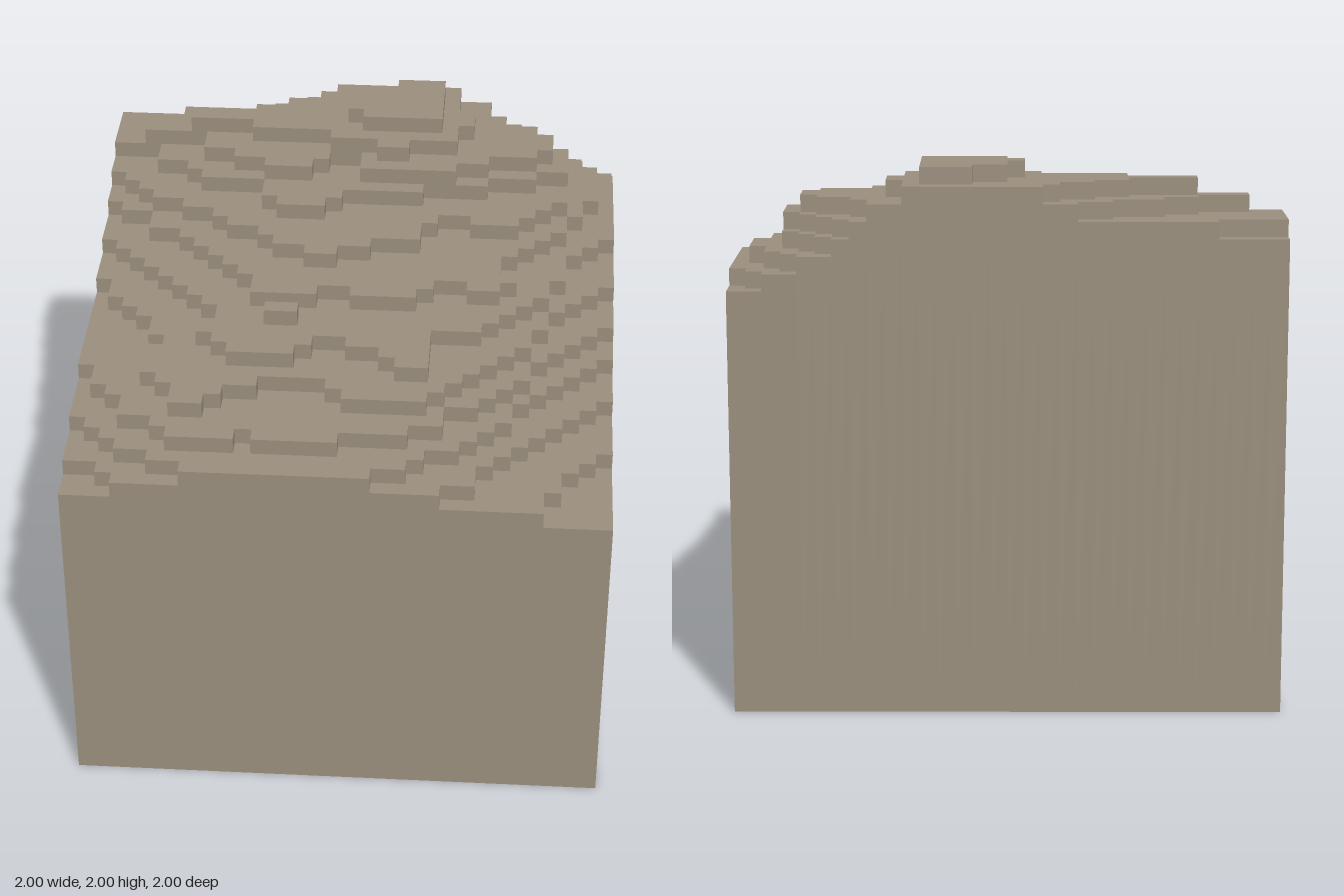
import * as THREE from 'three';

const N = 32;            // cells per side
const CELL = 2 / N;      // cell size, also the step height
const BASE = 20;         // height of the solid block, in steps

// Is the point inside the closed outline [x, z, x, z, ...]?
function inside(outline, x, z) {
  let hit = false;
  const n = outline.length;
  for (let i = 0, j = n - 2; i < n; j = i, i += 2) {
    const [x1, z1, x2, z2] = [outline[i], outline[i + 1], outline[j], outline[j + 1]];
    if ((z1 > z) !== (z2 > z) && x < ((x2 - x1) * (z - z1)) / (z2 - z1) + x1) hit = !hit;
  }
  return hit;
}

// Height of every cell; each terrace raises the cells inside its contour
function buildHeights() {
  const h = Array.from({ length: N }, () => new Array(N).fill(BASE));
  const terrace = (level, outline) => {
    for (let j = 0; j < N; j++)
      for (let i = 0; i < N; i++)
        if (inside(outline, i + 0.49, j + 0.48)) h[j][i] = Math.max(h[j][i], level);
  };
  // Lower slopes, open to the front
  terrace(21, [0, 0, 0, 32, 28, 32, 28, 30, 29, 30, 29, 28, 30, 28, 30, 27, 31, 27, 31, 26, 32, 26, 32, 0]);
  terrace(22, [0, 0, 0, 30, 2, 30, 2, 31, 3, 31, 3, 32, 22, 32, 22, 31, 24, 31, 24, 29, 26, 28,
    26, 27, 28, 25, 30, 24, 31, 22, 32, 22, 32, 0]);
  terrace(23, [0, 0, 0, 27, 1, 27, 1, 28, 2, 28, 3, 30, 5, 30, 5, 31, 7, 31, 7, 32, 18, 32, 18, 31,
    20, 31, 20, 30, 22, 29, 24, 27, 26, 25, 27, 23, 29, 21, 31, 20, 31, 19, 32, 19, 32, 0]);
  terrace(24, [0, 0, 0, 23, 1, 23, 1, 24, 3, 27, 4, 28, 5, 28, 6, 30, 10, 30, 10, 29, 11, 29, 11, 30,
    16, 30, 16, 29, 20, 29, 20, 28, 22, 28, 22, 26, 23, 26, 25, 24, 27, 22, 28, 20, 30, 18, 31, 17, 32, 17, 32, 0]);
  // Middle slopes with a shallow hollow at the front
  terrace(25, [0, 0, 0, 15, 1, 15, 1, 17, 2, 17, 2, 18, 4, 19, 4, 21, 5, 21, 5, 22, 4, 22, 4, 25, 5, 25,
    6, 28, 8, 28, 8, 27, 9, 27, 9, 26, 11, 26, 11, 25, 15, 25, 15, 26, 16, 26, 16, 27, 21, 27, 21, 26,
    22, 26, 22, 25, 25, 23, 27, 20, 28, 18, 29, 16, 31, 15, 31, 14, 32, 14, 32, 0]);
  terrace(26, [0, 0, 0, 12, 1, 12, 1, 13, 3, 14, 3, 15, 5, 16, 8, 19, 8, 21, 7, 21, 7, 22, 8, 22, 8, 23,
    9, 23, 9, 24, 13, 24, 13, 23, 14, 23, 14, 22, 16, 22, 16, 23, 18, 23, 18, 24, 19, 24, 19, 25,
    21, 25, 21, 21, 24, 21, 24, 20, 26, 19, 28, 16, 29, 13, 30, 11, 31, 10, 32, 10, 32, 2, 31, 2, 31, 1, 30, 1, 30, 0]);
  terrace(27, [0, 0, 0, 9, 1, 9, 1, 10, 3, 10, 3, 12, 5, 12, 5, 13, 7, 14, 9, 16, 10, 18, 10, 19, 14, 19,
    14, 18, 16, 18, 16, 19, 20, 19, 20, 18, 21, 18, 21, 17, 23, 17, 23, 18, 25, 18, 25, 17, 26, 17,
    26, 16, 25, 16, 25, 14, 27, 13, 29, 10, 30, 8, 31, 6, 31, 4, 30, 3, 30, 2, 28, 1, 28, 0]);
  terrace(27, [11, 20, 11, 21, 13, 21, 13, 20]); // lone raised stone
  // Upper slopes
  terrace(28, [0, 0, 0, 7, 1, 7, 1, 8, 3, 9, 4, 10, 6, 11, 9, 13, 11, 14, 12, 15, 13, 15, 13, 16, 15, 16,
    15, 15, 17, 15, 17, 14, 20, 14, 20, 12, 21, 12, 21, 11, 23, 11, 23, 12, 25, 12, 27, 10, 29, 9,
    29, 4, 28, 2, 27, 2, 27, 1, 26, 1, 26, 0]);
  terrace(29, [0, 1, 0, 5, 3, 5, 3, 7, 5, 7, 5, 8, 7, 9, 10, 9, 10, 11, 11, 11, 11, 12, 14, 12, 14, 11,
    15, 11, 15, 10, 20, 10, 20, 9, 23, 9, 25, 8, 28, 7, 29, 6, 29, 4, 28, 4, 27, 2, 25, 1, 25, 0, 4, 0, 4, 1]);
  terrace(30, [2, 4, 2, 5, 6, 5, 6, 7, 8, 7, 8, 8, 10, 8, 10, 9, 13, 9, 13, 8, 14, 7, 16, 7, 16, 8, 17, 9,
    22, 9, 22, 8, 25, 7, 28, 6, 28, 4, 26, 3, 25, 2, 24, 1, 24, 0, 12, 0, 12, 1, 10, 1, 10, 2, 7, 2, 7, 3, 5, 3, 5, 4]);
  // Summit
  terrace(31, [5, 4, 5, 5, 9, 5, 9, 6, 14, 6, 15, 7, 17, 7, 17, 8, 19, 8, 19, 7, 22, 7, 22, 5, 23, 5,
    23, 3, 22, 2, 22, 0, 14, 0, 14, 1, 12, 2, 10, 3, 7, 4]);
  terrace(32, [16, 2, 18, 2, 18, 1, 21, 1, 21, 6, 16, 6, 16, 5, 15, 5, 15, 4, 16, 4]);
  return h;
}

// Stepped solid: cell tops, walls wherever a cell stands above its neighbour, and the underside
function terrainGeometry(h) {
  const position = [], normal = [];
  const quad = (n, a, b, c, d) => {
    for (const [x, y, z] of [a, b, c, a, c, d]) {
      position.push(x * CELL - 1, y * CELL, z * CELL - 1);
      normal.push(...n);
    }
  };
  // Neighbour direction, then the two ends of the shared edge
  const sides = [
    [1, 0, 1, 1, 1, 0], [0, -1, 1, 0, 0, 0],
    [-1, 0, 0, 0, 0, 1], [0, 1, 0, 1, 1, 1],
  ];
  for (let j = 0; j < N; j++) {
    for (let i = 0; i < N; i++) {
      const top = h[j][i];
      quad([0, 1, 0], [i, top, j], [i, top, j + 1], [i + 1, top, j + 1], [i + 1, top, j]);
      for (const [dx, dz, ax, az, bx, bz] of sides) {
        const low = h[j + dz]?.[i + dx] ?? 0;
        if (low < top)
          quad([dx, 0, dz], [i + ax, low, j + az], [i + bx, low, j + bz],
            [i + bx, top, j + bz], [i + ax, top, j + az]);
      }
    }
  }
  quad([0, -1, 0], [0, 0, 0], [N, 0, 0], [N, 0, N], [0, 0, N]);
  const geometry = new THREE.BufferGeometry();
  geometry.setAttribute('position', new THREE.Float32BufferAttribute(position, 3));
  geometry.setAttribute('normal', new THREE.Float32BufferAttribute(normal, 3));
  return geometry;
}

export function createModel() {
  const stone = new THREE.MeshStandardMaterial({ color: 0x9b8f7e });
  stone.name = 'stone';
  const terrain = new THREE.Mesh(terrainGeometry(buildHeights()), stone);
  terrain.name = 'terracedHill';
  const group = new THREE.Group();
  group.name = 'terrainBlock';
  group.add(terrain);
  return group;
}
